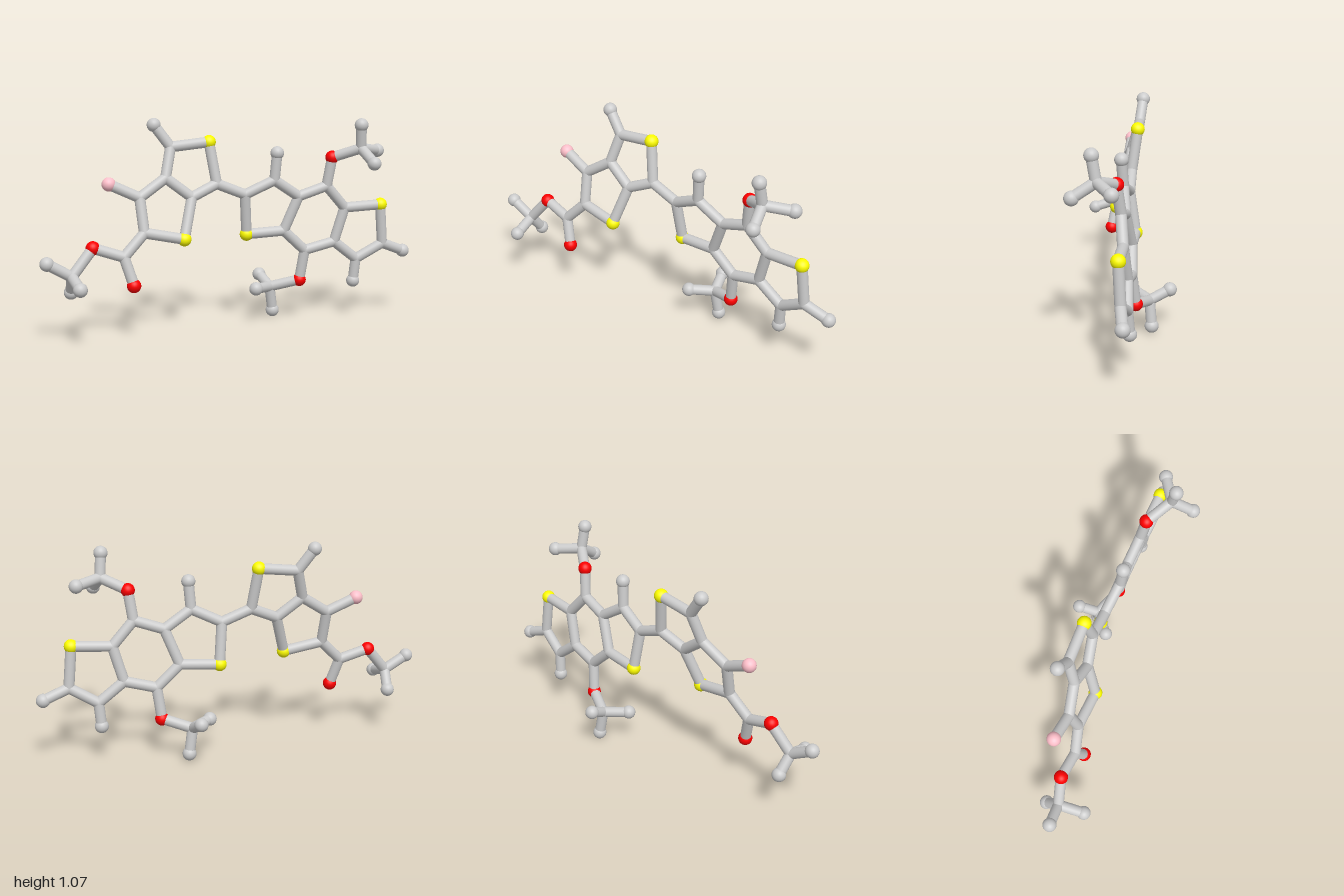
import * as THREE from 'three';

const BALL = 0.07 / 2;      // exposed end atoms and coloured atoms
const ROD = BALL * 0.77;    // sticks, and the joints that blend into them

const grey = new THREE.MeshStandardMaterial({ color: 0xcccccc });
const red = new THREE.MeshStandardMaterial({ color: 0xff0000 });
const yellow = new THREE.MeshStandardMaterial({ color: 0xffff00 });
const pink = new THREE.MeshStandardMaterial({ color: 0xffc0cb });

const STYLES = {
  joint: [ROD, grey],
  end: [BALL, grey],
  oxygen: [BALL, red],
  sulfur: [BALL, yellow],
  fluorine: [BALL, pink],
};

// Atom positions, grouped by kind
const ATOMS = {
  joint: {
    // right pair of fused rings and ester
    a1: [-0.31, 0.93, -0.08], a2: [-0.08, 0.74, -0.04], a3: [-0.22, 0.68, -0.02],
    a4: [-0.35, 0.78, -0.04], a5: [-0.49, 0.69, -0.02], a6: [-0.48, 0.52, 0.02],
    ester: [-0.59, 0.41, 0.04], esterMethyl: [-0.85, 0.33, 0.04],
    // left triple of fused rings
    b1: [0.07, 0.68, -0.03], b2: [0.22, 0.75, 0], b3: [0.36, 0.66, -0.01],
    b4: [0.29, 0.48, -0.04], b5: [0.51, 0.71, 0.01], b6: [0.62, 0.59, 0],
    b7: [0.57, 0.41, -0.02], b8: [0.41, 0.37, -0.04], b9: [0.84, 0.39, 0.01],
    b10: [0.7, 0.31, -0.02],
    upperMethyl: [0.65, 0.91, 0.12], lowerMethyl: [0.25, 0.17, -0.13],
  },
  end: {
    endA1: [-0.39, 1.04, -0.1], endB2: [0.23, 0.89, 0.01],
    endB9: [0.97, 0.34, 0], endB10: [0.69, 0.19, -0.03],
    esterEnd1: [-0.97, 0.4, 0.04], esterEnd2: [-0.84, 0.29, 0.17], esterEnd3: [-0.84, 0.24, -0.03],
    upperEnd1: [0.64, 1.03, 0.14], upperEnd2: [0.78, 0.89, 0.05], upperEnd3: [0.67, 0.84, 0.23],
    lowerEnd1: [0.14, 0.18, -0.05], lowerEnd2: [0.23, 0.22, -0.23], lowerEnd3: [0.27, 0.04, -0.14],
  },
  sulfur: {
    s1: [-0.11, 0.95, -0.07], s2: [-0.28, 0.48, 0.04],
    s3: [0.09, 0.47, -0.06], s4: [0.82, 0.6, 0.02],
  },
  oxygen: {
    esterO1: [-0.55, 0.27, 0.07], esterO2: [-0.74, 0.46, 0.02],
    upperO: [0.53, 0.86, 0.03], lowerO: [0.39, 0.21, -0.06],
  },
  fluorine: { f1: [-0.64, 0.76, -0.04] },
};

// Chains of bonded atoms; each neighbouring pair gets a stick
const PARTS = {
  rightUpperRing: ['a1 s1 a2 a3 a4 a1 endA1'],
  rightLowerRing: ['a4 a5 a6 s2 a3', 'a5 f1'],
  esterArm: ['a6 ester esterO1', 'ester esterO2 esterMethyl esterEnd1',
    'esterEnd2 esterMethyl esterEnd3'],
  linkBetweenRings: ['a2 b1'],
  leftInnerRing: ['b1 b2 b3 b4 s3 b1', 'b2 endB2'],
  leftMiddleRing: ['b3 b5 b6 b7 b8 b4'],
  leftOuterRing: ['b6 s4 b9 b10 b7', 'b9 endB9', 'b10 endB10'],
  upperMethoxyArm: ['b5 upperO upperMethyl upperEnd1', 'upperEnd2 upperMethyl upperEnd3'],
  lowerMethoxyArm: ['b8 lowerO lowerMethyl lowerEnd1', 'lowerEnd2 lowerMethyl lowerEnd3'],
};

const UP = new THREE.Vector3(0, 1, 0);

function makeStick(from, to) {
  const along = to.clone().sub(from);
  const stick = new THREE.Mesh(
    new THREE.CylinderGeometry(ROD, ROD, along.length(), 24, 1, true), grey);
  stick.position.copy(from).addScaledVector(along, 0.5);
  stick.quaternion.setFromUnitVectors(UP, along.normalize());
  stick.name = 'bondStick';
  return stick;
}

export function createModel() {
  const model = new THREE.Group();
  model.name = 'moleculeModel';

  // Atoms
  const places = {};
  for (const [kind, list] of Object.entries(ATOMS)) {
    const [radius, material] = STYLES[kind];
    const geometry = new THREE.SphereGeometry(radius, 24, 16);
    const group = new THREE.Group();
    group.name = kind + 'Atoms';
    for (const [id, p] of Object.entries(list)) {
      places[id] = new THREE.Vector3(...p);
      const atom = new THREE.Mesh(geometry, material);
      atom.position.copy(places[id]);
      atom.name = kind + 'Atom';
      group.add(atom);
    }
    model.add(group);
  }

  // Sticks
  for (const [name, chains] of Object.entries(PARTS)) {
    const part = new THREE.Group();
    part.name = name;
    for (const chain of chains) {
      const ids = chain.split(' ');
      for (let i = 1; i < ids.length; i++) {
        part.add(makeStick(places[ids[i - 1]], places[ids[i]]));
      }
    }
    model.add(part);
  }
  return model;
}
